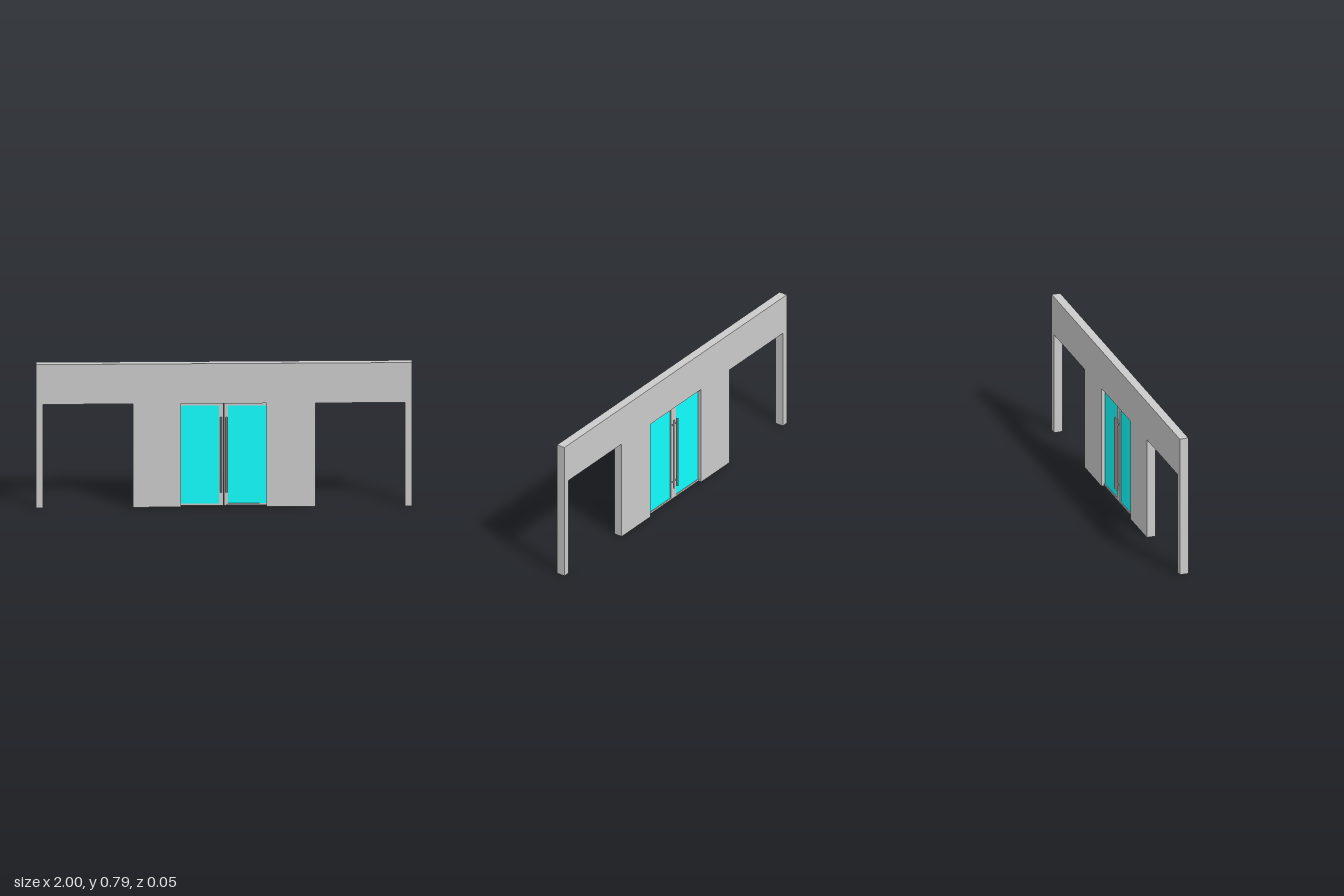
import * as THREE from 'three';

const grey = new THREE.MeshStandardMaterial({ color: 0xcccccc });
const glass = new THREE.MeshStandardMaterial({ color: 0x11ffff });

const BACK = -0.0215, FRONT = 0.0265;   // wall faces
const DOOR_X = -0.002, HEAD = 0.57;     // door centre line and opening height
const LEAF_W = 0.227;

function add(parent, name, geometry, material, x, y, z) {
  const mesh = new THREE.Mesh(geometry, material);
  mesh.name = name;
  mesh.position.set(x, y, z);
  parent.add(mesh);
  return mesh;
}

// box given by its x and y limits, centred on z = 0
function slab(parent, name, x0, x1, y0, y1, depth, material = grey) {
  const w = Math.abs(x1 - x0);
  return add(parent, name, new THREE.BoxGeometry(w, y1 - y0, depth), material, (x0 + x1) / 2, (y0 + y1) / 2, 0);
}

// wall outline: lintel over two side openings and one door opening
function createWall() {
  const openings = [[-0.963, -0.485], [DOOR_X - LEAF_W, DOOR_X + LEAF_W], [0.485, 0.963]];
  const shape = new THREE.Shape();
  shape.moveTo(-1, 0);
  for (const [a, b] of openings) {
    shape.lineTo(a, 0);
    shape.lineTo(a, HEAD);
    shape.lineTo(b, HEAD);
    shape.lineTo(b, 0);
  }
  shape.lineTo(1, 0);
  shape.lineTo(1, 0.79);
  shape.lineTo(-1, 0.79);
  const geometry = new THREE.ExtrudeGeometry(shape, { depth: FRONT - BACK, bevelEnabled: false });
  geometry.translate(0, 0, BACK);
  const wall = new THREE.Mesh(geometry, grey);
  wall.name = 'wall';
  return wall;
}

// upright pull bar on two standoffs; face is +1 for the front, -1 for the back
function createHandle(face) {
  const handle = new THREE.Group();
  handle.name = face > 0 ? 'frontHandle' : 'backHandle';
  const r = 0.005, z = face * (0.0263 - r);
  add(handle, 'bar', new THREE.CylinderGeometry(r, r, 0.415, 16), grey, 0, 0.285, z);
  for (const y of [0.11, 0.46]) {
    const standoff = add(handle, 'standoff', new THREE.CylinderGeometry(0.003, 0.003, 0.018, 12), grey, 0, y, face * 0.0125);
    standoff.rotation.x = Math.PI / 2;
  }
  return handle;
}

// one glazed leaf, side is +1 for the left leaf and -1 for the right leaf
function createLeaf(side) {
  const leaf = new THREE.Group();
  leaf.name = side > 0 ? 'leftDoor' : 'rightDoor';
  leaf.position.x = DOOR_X;
  const inner = side * 0.0015, stile = side * 0.024, outer = side * LEAF_W;
  slab(leaf, 'meetingStile', inner, stile, 0.003, HEAD, 0.012);
  slab(leaf, 'topRail', stile, outer, 0.553, HEAD, 0.012);
  slab(leaf, 'bottomRail', stile, outer, 0.003, 0.013, 0.012);
  slab(leaf, 'glassPane', stile, outer, 0.013, 0.553, 0.004, glass);
  for (const face of [1, -1]) {
    const handle = createHandle(face);
    handle.position.x = side * 0.0145;
    leaf.add(handle);
  }
  return leaf;
}

export function createModel() {
  const model = new THREE.Group();
  model.name = 'wallWithDoubleDoor';
  model.add(createWall(), createLeaf(1), createLeaf(-1));
  return model;
}
